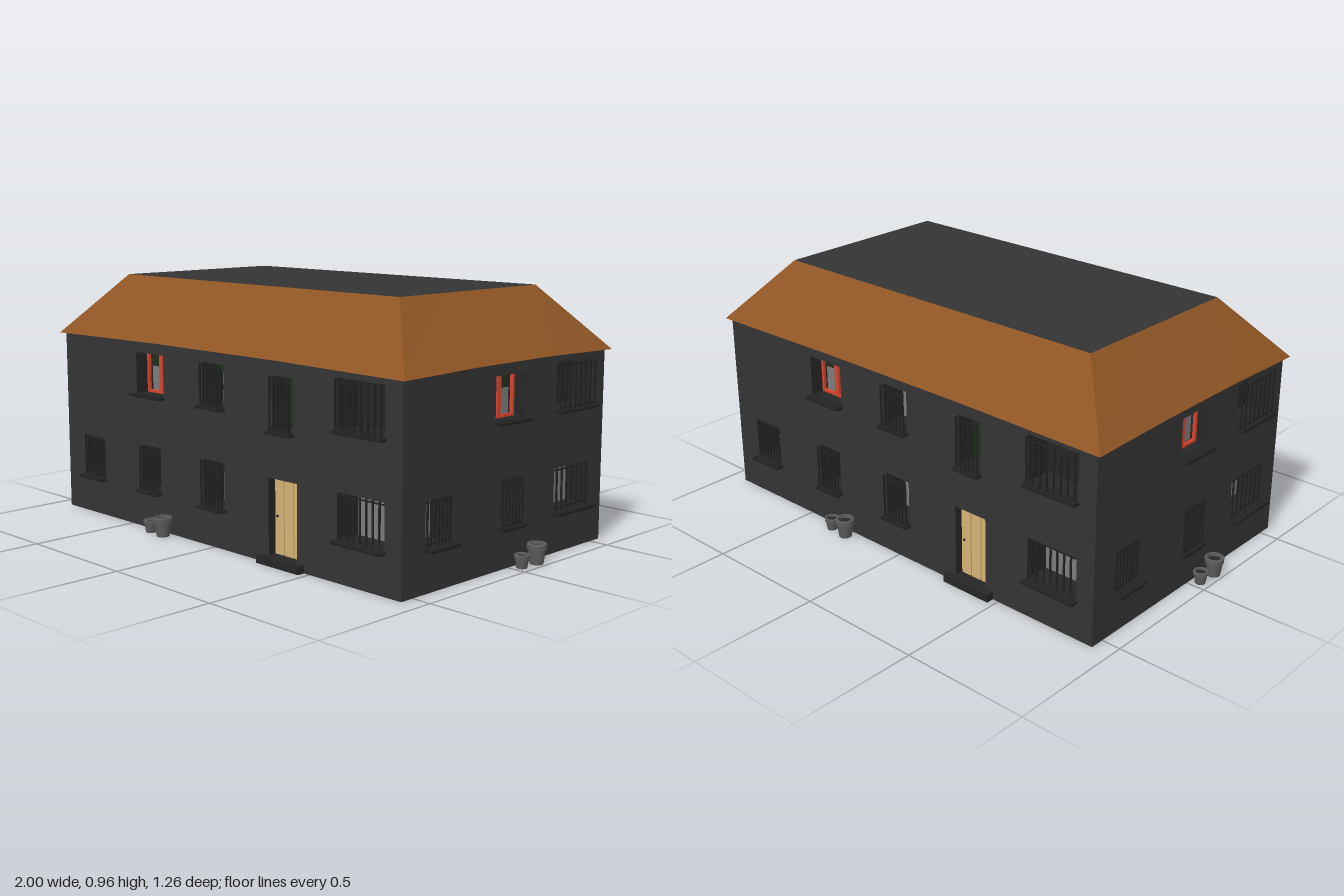
import * as THREE from 'three';

const mat = (color) => new THREE.MeshStandardMaterial({ color, side: THREE.DoubleSide });
const M = {
  wall: mat(0x343434), dark: mat(0x262626), bar: mat(0x222222), glass: mat(0x7c7c7c), blind: mat(0x1f2e1d),
  red: mat(0xd8452f), wood: mat(0xd6b376), pot: mat(0x5c5c5c), soil: mat(0x2a2a2a), roof: mat(0x8f5524),
};
const HX = 0.925, HZ = 0.555, WALL_H = 0.73, NICHE = 0.1;

function add(parent, name, geo, material, x = 0, y = 0, z = 0) {
  const m = new THREE.Mesh(geo, material);
  m.name = name;
  m.position.set(x, y, z);
  parent.add(m);
  return m;
}
const box = (w, h, d) => new THREE.BoxGeometry(w, h, d);

function rectPath(P, x0, x1, y0, y1) {
  const p = new P();
  p.moveTo(x0, y0);
  p.lineTo(x1, y0);
  p.lineTo(x1, y1);
  p.lineTo(x0, y1);
  p.closePath();
  return p;
}

// Recess behind an opening: four side faces and a back panel
function addNiche(g, w, h, depth, back) {
  const sides = box(w, h, depth);
  sides.setIndex(Array.from(sides.index.array).slice(0, 24));
  sides.clearGroups();
  add(g, 'reveal', sides, M.dark, 0, 0, -depth / 2);
  add(g, 'backPanel', new THREE.PlaneGeometry(w, h), back, 0, 0, -depth);
}

// Upright bars with two thin rails
function addBars(g, w, h, n, z) {
  for (let i = 0; i < n; i++) {
    add(g, 'bar', box(0.006, h, 0.006), M.bar, -w / 2 + 0.004 + (i * (w - 0.008)) / (n - 1), 0, z);
  }
  for (const s of [-1, 1]) add(g, 'rail', box(w, 0.005, 0.005), M.bar, 0, s * (h / 2 - 0.012), z);
}

// Two-leaf red casement
function addCasement(g, w, h, z) {
  const t = 0.01;
  for (const s of [-1, 1]) {
    const leaf = rectPath(THREE.Shape, -w / 4, w / 4, -h / 2, h / 2);
    leaf.holes.push(rectPath(THREE.Path, -w / 4 + t, w / 4 - t, -h / 2 + t, h / 2 - t));
    const geo = new THREE.ExtrudeGeometry(leaf, { depth: 0.012, bevelEnabled: false });
    add(g, 'casementLeaf', geo, M.red, (s * w) / 4, 0, z);
  }
}

function addWindow(wall, o) {
  const [x0, x1, y0, y1] = o.r;
  const w = x1 - x0, h = y1 - y0;
  const g = new THREE.Group();
  g.name = 'window';
  g.position.set((x0 + x1) / 2, (y0 + y1) / 2, 0);
  wall.add(g);
  addNiche(g, w, h, o.casement ? 0.08 : NICHE, o.shut ? M.dark : M.glass);
  if (o.bars) addBars(g, w, h, o.bars, o.out ? 0.015 : -0.012);
  if (o.casement) addCasement(g, w, h, -0.065);
  if (o.blind) {
    const bh = h * o.blind;
    add(g, 'blind', box(w - 0.004, bh, 0.004), M.blind, 0, h / 2 - bh / 2, -0.074);
  }
  add(g, 'sill', box(w + 0.012, 0.01, 0.045), M.bar, 0, -h / 2 - 0.004, 0.0085);
}

// Plank door set in the wall with a doorstep
function addDoor(wall, [x0, x1, y0, y1]) {
  const w = x1 - x0, h = y1 - y0;
  const g = new THREE.Group();
  g.name = 'door';
  g.position.set((x0 + x1) / 2, (y0 + y1) / 2, 0);
  wall.add(g);
  addNiche(g, w, h, 0.04, M.wood);
  for (let i = 0; i < 3; i++) {
    add(g, 'plank', box(w / 3 - 0.005, h, 0.008), M.wood, ((i - 1) * w) / 3, 0, -0.034);
  }
  add(g, 'handle', new THREE.SphereGeometry(0.005, 10, 8), M.bar, -w / 2 + 0.018, 0, -0.026);
  add(g, 'doorstep', box(w + 0.07, y0, 0.06), M.dark, 0, -h / 2 - y0 / 2, 0);
}

// Tapered pot with a rim
function addPot(wall, x, z, r, h) {
  const profile = [[0, 0], [0.68, 0], [0.9, 0.72], [1, 0.74], [1, 0.96], [0.94, 1], [0.76, 1], [0.72, 0.82]];
  const pts = profile.map(([a, b]) => new THREE.Vector2(a * r, b * h));
  const geo = new THREE.LatheGeometry(pts, 18).toNonIndexed();
  geo.computeVertexNormals();
  const pot = add(wall, 'pot', geo, M.pot, x, 0, z);
  const soil = add(pot, 'soil', new THREE.CircleGeometry(r * 0.74, 18), M.soil, 0, h * 0.84, 0);
  soil.rotation.x = -Math.PI / 2;
}

// Wall in its own plane, outside towards local +z
function makeWall(name, half, dist, turn, windows, door, pots) {
  const wall = new THREE.Group();
  wall.name = name;
  const shape = rectPath(THREE.Shape, -half, half, 0, WALL_H);
  for (const r of [...windows.map((o) => o.r), ...(door ? [door] : [])]) shape.holes.push(rectPath(THREE.Path, ...r));
  add(wall, 'wallPanel', new THREE.ShapeGeometry(shape), M.wall);
  windows.forEach((o) => addWindow(wall, o));
  if (door) addDoor(wall, door);
  pots.forEach((p) => addPot(wall, ...p));
  wall.rotation.y = turn;
  wall.position.set(Math.sin(turn) * dist, 0, Math.cos(turn) * dist);
  return wall;
}

// Hipped roof skirt whose eaves dip slightly at the corners
function makeRoof() {
  const g = new THREE.Group();
  g.name = 'roof';
  const ex = 0.945, ez = 0.572, tx = 0.74, tz = 0.37, top = 0.96;
  const side = (half, dist, thalf, tdist, turn) => {
    const pos = [], idx = [], ts = [-1, -0.36, 0.36, 1];
    ts.forEach((t, i) => {
      pos.push(t * half, Math.abs(t) === 1 ? 0.722 : 0.73, dist, t * thalf, top, tdist);
      if (i) idx.push(2 * i - 2, 2 * i, 2 * i + 1, 2 * i - 2, 2 * i + 1, 2 * i - 1);
    });
    let geo = new THREE.BufferGeometry();
    geo.setAttribute('position', new THREE.Float32BufferAttribute(pos, 3));
    geo.setIndex(idx);
    geo = geo.toNonIndexed();
    geo.computeVertexNormals();
    add(g, 'roofSlope', geo, M.roof).rotation.y = turn;
  };
  for (const k of [0, 1]) {
    side(ex, ez, tx, tz, k * Math.PI);
    side(ez, ex, tz, tx, (k + 0.5) * Math.PI);
  }
  const flat = add(g, 'flatRoof', new THREE.PlaneGeometry(2 * tx, 2 * tz), M.wall, 0, top, 0);
  flat.rotation.x = -Math.PI / 2;
  return g;
}

export function createModel() {
  const model = new THREE.Group();
  model.name = 'house';

  const longWindows = [
    { r: [-0.457, -0.29, 0.525, 0.685], casement: true, blind: 0.37 },
    { r: [-0.06, 0.06, 0.525, 0.685], bars: 7, out: true, blind: 0.28 },
    { r: [0.315, 0.42, 0.48, 0.675], bars: 6, out: true, blind: 0.92 },
    { r: [0.635, 0.85, 0.525, 0.7], bars: 8, out: true, shut: true },
    { r: [-0.815, -0.675, 0.15, 0.315], bars: 8 },
    { r: [-0.43, -0.315, 0.15, 0.325], bars: 7, out: true },
    { r: [-0.06, 0.06, 0.15, 0.325], bars: 7, out: true, blind: 0.28 },
    { r: [0.635, 0.85, 0.15, 0.315], bars: 8 },
  ];
  const shortWindows = [
    { r: [-0.085, 0.085, 0.525, 0.685], casement: true, blind: 0.37 },
    { r: [0.26, 0.48, 0.525, 0.7], bars: 8, out: true, shut: true },
    { r: [-0.44, -0.3, 0.15, 0.315], bars: 8 },
    { r: [-0.06, 0.06, 0.15, 0.325], bars: 7, out: true },
    { r: [0.26, 0.48, 0.15, 0.315], bars: 8 },
  ];

  // The house repeats itself when turned half way round
  for (const k of [0, 1]) {
    const half = new THREE.Group();
    half.name = k ? 'backAndLeftWalls' : 'frontAndRightWalls';
    half.add(makeWall('longWall', HX, HZ, 0, longWindows, [0.295, 0.44, 0.03, 0.31],
      [[-0.34, 0.035, 0.028, 0.05], [-0.26, 0.039, 0.036, 0.075]]));
    half.add(makeWall('shortWall', HZ, HX, Math.PI / 2, shortWindows, null,
      [[0.035, 0.035, 0.028, 0.05], [0.115, 0.039, 0.036, 0.075]]));
    half.rotation.y = k * Math.PI;
    model.add(half);
  }
  model.add(makeRoof());
  return model;
}
